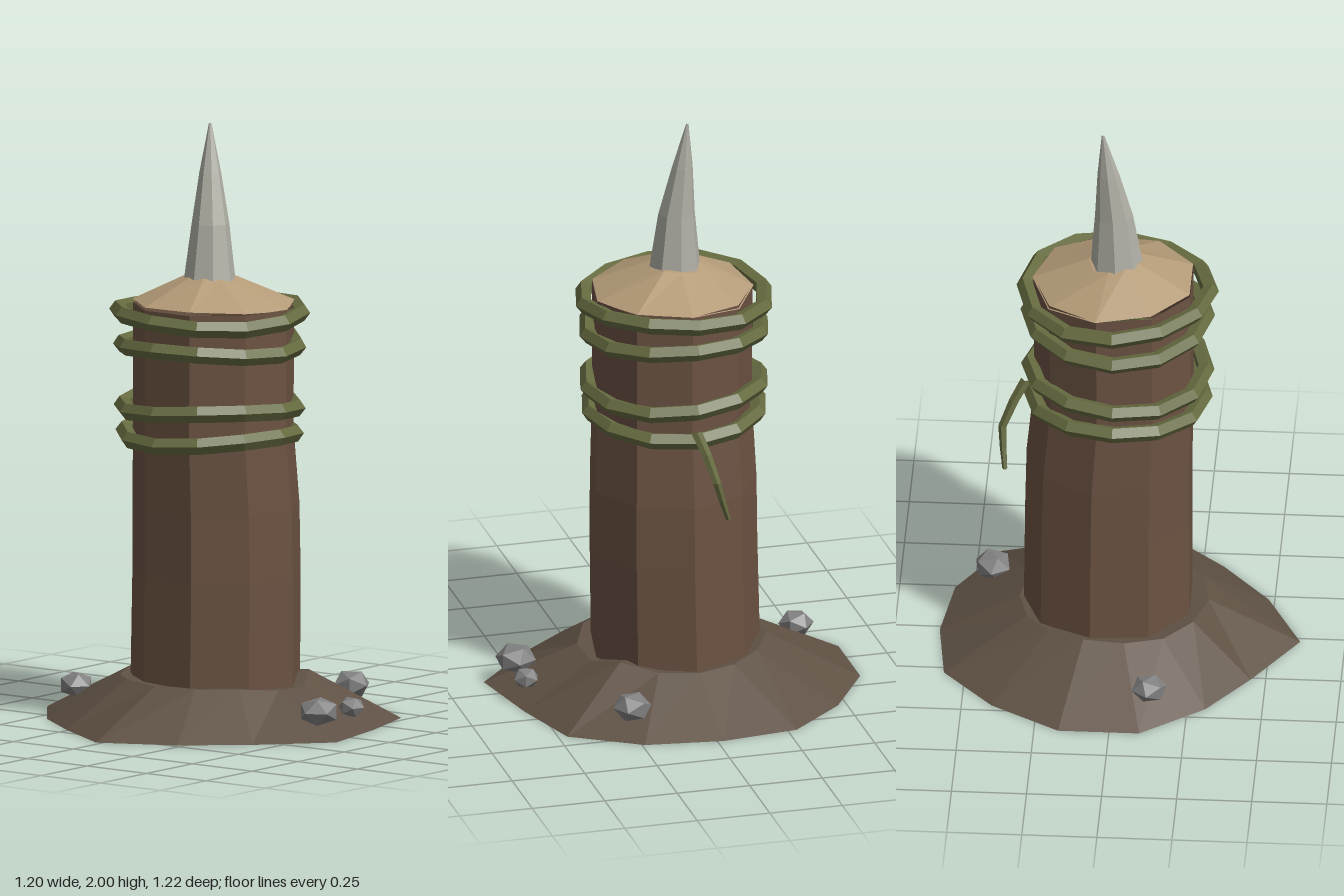
import * as THREE from 'three';

const material = (color, side = THREE.FrontSide) =>
  new THREE.MeshStandardMaterial({ color, side, flatShading: true });
const BARK = material(0x6b5242, THREE.DoubleSide);
const SOIL = material(0x5f5144, THREE.DoubleSide);
const WOOD = material(0xb49b78, THREE.DoubleSide);
const SPIKE = material(0xb0b0a6);
const VINE = material(0x666b40);
const STONE = material(0x808080);

// Skin a list of cross-sections (each a loop of [x, y, z], running +x to +z), lowest first
function loft(rings) {
  const n = rings[0].length;
  const index = [];
  for (let i = 0; i < rings.length - 1; i++) {
    for (let j = 0; j < n; j++) {
      const k = (j + 1) % n;
      const a = i * n + j, b = i * n + k, c = a + n, d = b + n;
      index.push(a, c, b, b, c, d);
    }
  }
  const geometry = new THREE.BufferGeometry();
  geometry.setAttribute('position', new THREE.Float32BufferAttribute(rings.flat(2), 3));
  geometry.setIndex(index);
  geometry.computeVertexNormals();
  return geometry;
}

// Regular loop of n points around (x, z) at height y, with an optional height wobble
const ring = (n, r, x, y, z, wobble = () => 0) =>
  Array.from({ length: n }, (_, j) => {
    const a = (j / n) * Math.PI * 2;
    return [x + r * Math.cos(a), y + wobble(j), z + r * Math.sin(a)];
  });

function add(group, name, geometry, mat) {
  const mesh = new THREE.Mesh(geometry, mat);
  mesh.name = name;
  group.add(mesh);
  return mesh;
}

export function createModel() {
  const model = new THREE.Group();
  model.name = 'spikedPost';

  // Earth mound: irregular outline rising to a bumpy ring around the post, open below
  const outline = [
    [0.6, -0.02], [0.565, 0.24], [0.425, 0.47], [0.17, 0.55], [-0.11, 0.61], [-0.32, 0.42], [-0.48, 0.23],
    [-0.6, -0.02], [-0.45, -0.26], [-0.31, -0.45], [-0.1, -0.61], [0.17, -0.61], [0.4, -0.47], [0.57, -0.28],
  ];
  const crest = [0.14, 0.145, 0.165, 0.13, 0.135, 0.15, 0.15, 0.15, 0.155, 0.15, 0.16, 0.165, 0.155, 0.145];
  add(model, 'mound', loft([
    outline.map(([x, z]) => [x, 0, z]),
    outline.map(([x, z], i) => {
      const s = 0.315 / Math.hypot(x, z);
      return [x * s + 0.02, crest[i], z * s];
    }),
    outline.map(() => [0.02, 0.12, 0]),
  ]), SOIL);

  // Nine-sided post, leaning and narrowing slightly
  add(model, 'post', loft([
    ring(9, 0.287, 0.035, 0.02, -0.008),
    ring(9, 0.284, 0.033, 0.5, 0),
    ring(9, 0.282, 0.03, 0.72, 0),
    ring(9, 0.271, 0.015, 0.98, 0),
    ring(9, 0.272, 0.018, 1.4, 0),
  ]), BARK);

  // Pale cut top, a shallow uneven cone
  const rim = [0, 0.005, -0.005, 0.005, 0.012, 0.01, 0.012, 0, -0.012];
  add(model, 'cutTop', loft([
    ring(9, 0.273, 0.02, 1.4, -0.002, (j) => rim[j]),
    ring(9, 0.085, 0.02, 1.485, -0.012, (j) => rim[j]),
    ring(9, 0, 0.02, 1.5, -0.012),
  ]), WOOD);

  // Bent stone spike
  add(model, 'spike', loft([
    ring(8, 0.088, 0.01, 1.47, -0.014),
    ring(8, 0.063, 0.02, 1.67, -0.018),
    ring(8, 0.036, 0.038, 1.84, -0.033),
    ring(8, 0.004, 0.055, 2, -0.046),
  ]), SPIKE);

  // Vine loops, gently wavy
  const loops = [[1.37, 0.308, 0.4], [1.268, 0.295, 1.7], [1.065, 0.293, 3.2], [0.968, 0.287, 4.4]];
  const vines = new THREE.Group();
  vines.name = 'vines';
  model.add(vines);
  for (const [y, r, phase] of loops) {
    const path = new THREE.CatmullRomCurve3(ring(12, r, 0.008, y, -0.012,
      (j) => 0.011 * Math.sin(j * Math.PI / 3 + phase)).map((p) => new THREE.Vector3(...p)), true);
    add(vines, 'vineLoop', new THREE.TubeGeometry(path, 12, 0.029, 5, true), VINE);
  }

  // Loose vine end hanging at the side
  const strand = [[0.31, 1.0, -0.005, 0.02], [0.35, 0.93, -0.03, 0.018], [0.388, 0.84, -0.055, 0.015],
    [0.385, 0.77, -0.075, 0.012], [0.378, 0.7, -0.098, 0.009]];
  add(vines, 'looseEnd', loft([
    ring(5, 0, 0.378, 0.699, -0.098),
    ...strand.reverse().map(([x, y, z, r]) => ring(5, r, x, y, z)),
  ]), VINE);

  // Scattered stones: x, y, z, width, height, turn
  const stones = [[-0.075, 0.09, 0.51, 0.07, 0.05, 0.5], [0.09, 0.085, 0.52, 0.045, 0.037, 1.3],
    [0.44, 0.09, 0.25, 0.065, 0.05, 2.1], [-0.125, 0.09, -0.47, 0.06, 0.045, 0.9]];
  for (const [x, y, z, w, h, turn] of stones) {
    const stone = add(model, 'stone', new THREE.IcosahedronGeometry(1, 0), STONE);
    stone.position.set(x, y, z);
    stone.scale.set(w, h, w);
    stone.rotation.y = turn;
  }

  return model;
}
